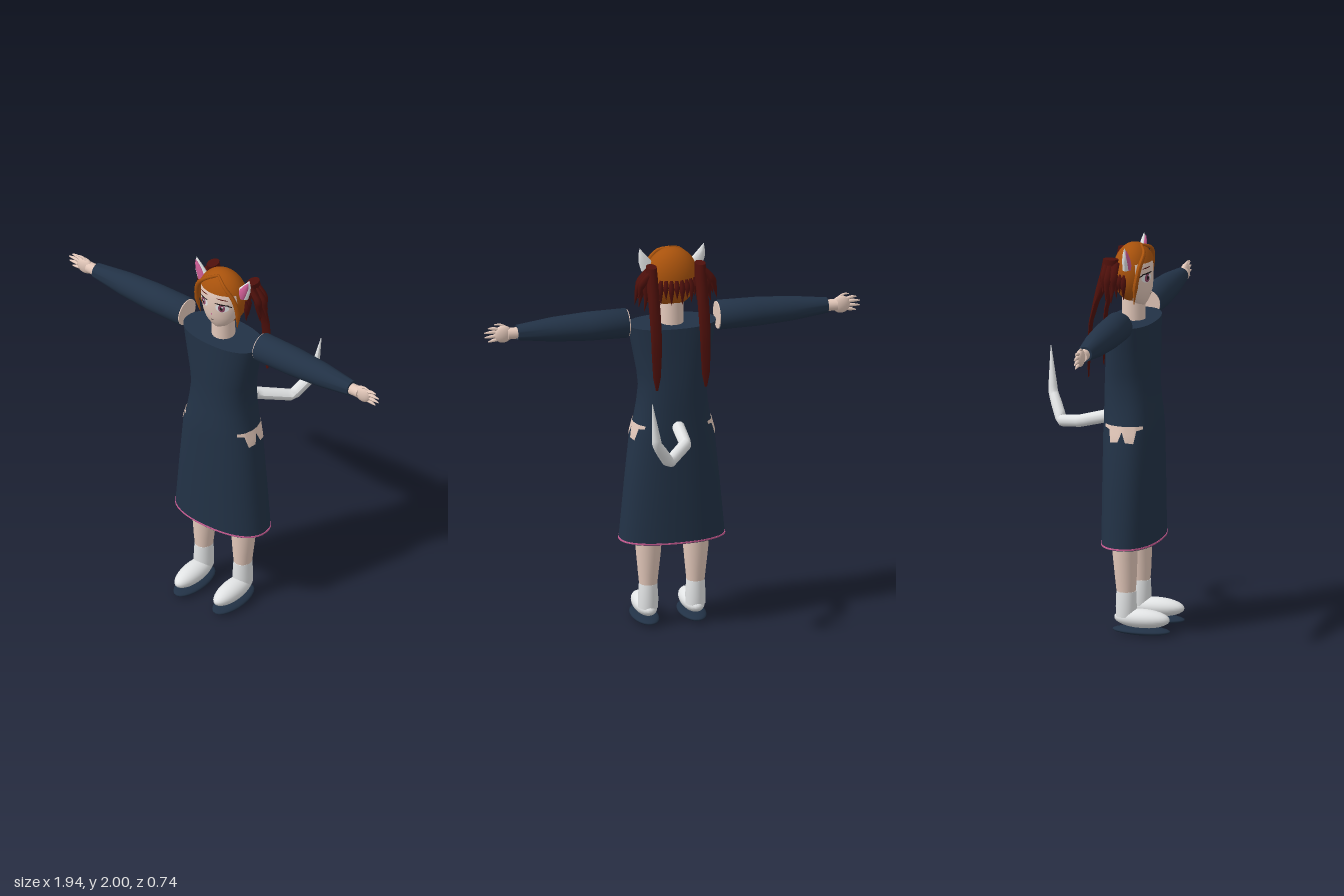
import * as THREE from 'three';
import { toCreasedNormals } from 'three/addons/utils/BufferGeometryUtils.js';

const mat = (name, color, side = THREE.FrontSide) => {
  const m = new THREE.MeshStandardMaterial({ color, side });
  m.name = name;
  return m;
};
const { lerp } = THREE.MathUtils;

// Interpolates a row of numbers in a table sorted by its first column.
function at(rows, t) {
  let i = 0;
  while (i < rows.length - 2 && t > rows[i + 1][0]) i++;
  const a = rows[i], b = rows[i + 1];
  const f = THREE.MathUtils.clamp((t - a[0]) / (b[0] - a[0]), 0, 1);
  return a.map((v, k) => lerp(v, b[k], f));
}

// Point on a rounded cross-section; a higher power gives a boxier outline.
function sectionPoint(cx, y, cz, rx, rz, angle, power = 2) {
  const bend = v => Math.sign(v) * Math.pow(Math.abs(v), 2 / power);
  return [cx + rx * bend(Math.cos(angle)), y, cz + rz * bend(Math.sin(angle))];
}

// Closed skin over horizontal rings [x, y, z, rx, rz], listed bottom to top.
function loft(rings, sides = 24, power = 2) {
  const pos = [], idx = [], n = rings.length;
  for (const r of rings)
    for (let i = 0; i < sides; i++) pos.push(...sectionPoint(...r, i / sides * Math.PI * 2, power));
  pos.push(...rings[0].slice(0, 3), ...rings[n - 1].slice(0, 3));
  const low = n * sides, top = low + 1;
  for (let i = 0; i < sides; i++) {
    const j = (i + 1) % sides;
    for (let k = 0; k < n - 1; k++) {
      const a = k * sides, b = a + sides;
      idx.push(a + i, b + i, a + j, a + j, b + i, b + j);
    }
    const t = (n - 1) * sides;
    idx.push(low, i, j, top, t + j, t + i);
  }
  const g = new THREE.BufferGeometry();
  g.setAttribute('position', new THREE.Float32BufferAttribute(pos, 3));
  g.setIndex(idx);
  return toCreasedNormals(g, 0.8);
}

// Tube along points whose radius follows [t, radius] rows.
function taperTube(points, radii, tension = 0.5, steps = 16, sides = 8) {
  const curve = new THREE.CatmullRomCurve3(points.map(p => new THREE.Vector3(...p)), false, 'catmullrom', tension);
  const g = new THREE.TubeGeometry(curve, steps, 1, sides), p = g.attributes.position, v = new THREE.Vector3();
  for (let i = 0; i < p.count; i++) {
    const t = Math.floor(i / (sides + 1)) / steps, c = curve.getPointAt(t);
    v.fromBufferAttribute(p, i).sub(c).multiplyScalar(at(radii, t)[1]).add(c);
    p.setXYZ(i, v.x, v.y, v.z);
  }
  g.computeVertexNormals();
  return g;
}

// Rows of [y, centre z, half width, half depth]
const DRESS = [[0.46, 0.143, 0.27, 0.143], [0.75, 0.143, 0.243, 0.143], [1.02, 0.143, 0.215, 0.142],
  [1.1, 0.142, 0.193, 0.14], [1.18, 0.138, 0.18, 0.136], [1.27, 0.135, 0.171, 0.132],
  [1.35, 0.137, 0.179, 0.13], [1.48, 0.14, 0.204, 0.126], [1.6, 0.142, 0.225, 0.122]];
const HEAD = [[1.675, 0.18, 0.02, 0.02], [1.69, 0.174, 0.05, 0.036], [1.72, 0.165, 0.08, 0.06],
  [1.76, 0.15, 0.102, 0.085], [1.81, 0.145, 0.115, 0.093], [1.87, 0.143, 0.12, 0.095],
  [1.92, 0.143, 0.108, 0.082], [1.96, 0.143, 0.08, 0.055]];
const toRings = rows => rows.map(([y, z, rx, rz]) => [0, y, z, rx, rz]);

// Thin disc laid onto the face.
function faceDisc(cx, cy, w, h, lift, tilt = 0) {
  const g = new THREE.RingGeometry(0, 1, 20, 3).scale(w, h, 1).rotateZ(tilt).translate(cx, cy, 0);
  const p = g.attributes.position;
  for (let i = 0; i < p.count; i++) {
    const [, z, rx, rz] = at(HEAD, p.getY(i));
    p.setZ(i, z + rz * Math.sqrt(Math.max(0, 1 - (p.getX(i) / rx) ** 2)) + lift);
  }
  g.computeVertexNormals();
  return g;
}

// Jagged opening at the hip, following the dress surface.
function hipPatch(s) {
  const half = [[0, 1.06], [0.1, 1.008], [0.36, 1.003], [0.44, 1.066], [0.64, 1.072]];
  const columns = [...half.slice(1).reverse().map(([q, y]) => [-q, y]), ...half];
  const pos = [], idx = [], rows = 4;
  columns.forEach(([q, bottom], c) => {
    for (let r = 0; r <= rows; r++) {
      const y = lerp(bottom, 1.087, r / rows), [, z, rx, rz] = at(DRESS, y);
      const p = sectionPoint(0, y, z, rx + 0.004, rz + 0.004, Math.asin(q), 2.3);
      pos.push(s * p[0], p[1], p[2]);
      if (c && r) {
        const b = c * (rows + 1) + r, a = b - rows - 1;
        idx.push(...(s > 0 ? [a - 1, a, b - 1, b - 1, a, b] : [a - 1, b - 1, a, b - 1, b, a]));
      }
    }
  });
  const g = new THREE.BufferGeometry();
  g.setAttribute('position', new THREE.Float32BufferAttribute(pos, 3));
  g.setIndex(idx);
  g.computeVertexNormals();
  return g;
}

export function createModel() {
  const model = new THREE.Group();
  const skin = mat('skin', 0xe3c8ba, THREE.DoubleSide), navy = mat('navy cloth', 0x223246);
  const orange = mat('orange hair', 0xa8520c, THREE.DoubleSide), red = mat('dark red hair', 0x4e100b);
  const white = mat('white', 0xe2e4e5), pink = mat('pink', 0xcc5c94);
  const iris = mat('iris', 0x8c4664), black = mat('black', 0x1c1618);
  const add = (name, geometry, material, x = 0, y = 0, z = 0) => {
    const m = new THREE.Mesh(geometry, material);
    m.name = name;
    m.position.set(x, y, z);
    model.add(m);
    return m;
  };
  const ball = (rx, ry, rz) => new THREE.SphereGeometry(1, 24, 16).scale(rx, ry, rz);

  // Dress, hem and neck
  add('dress', loft(toRings(DRESS), 40, 2.3), navy);
  add('hemTrim', loft([[0, 0.463, 0.143, 0.2725, 0.1455], [0, 0.471, 0.143, 0.2718, 0.1455]], 40, 2.3), pink);
  add('neck', new THREE.CylinderGeometry(0.058, 0.06, 0.16, 20), skin, 0, 1.65, 0.14);

  // Head and hair shell
  add('head', loft(toRings(HEAD), 32), skin);
  const shell = (...arc) => new THREE.SphereGeometry(1, 32, 12, ...arc).scale(0.134, 0.152, 0.105);
  add('hairCrown', shell(0, Math.PI * 2, 0, 1.13), orange, 0, 1.84, 0.143);
  add('hairBack', shell(Math.PI - 0.41, Math.PI + 0.82, 1.1, 1.85), orange, 0, 1.84, 0.143);
  add('mouth', faceDisc(0, 1.735, 0.01, 0.002, 0.002), black);
  add('nose', faceDisc(0, 1.775, 0.004, 0.005, 0.003), pink);

  // Spiky fringe across the back of the head
  for (let i = 0; i < 15; i++) {
    const a = Math.PI * (1.04 + 0.92 * i / 14), c = Math.cos(a), d = Math.sin(a);
    add('backFringe', taperTube([[0.125 * c, 1.85, 0.143 + 0.1 * d], [0.138 * c, 1.81, 0.143 + 0.112 * d],
      [0.135 * c, 1.725 + 0.03 * (i % 2), 0.143 + 0.112 * d]], [[0, 0.01], [0.4, 0.015], [1, 0.001]], 0.5, 8, 6), red);
  }

  // Tail
  add('tail', taperTube([[0, 1.09, 0.03], [0, 1.045, -0.14], [0.12, 1.005, -0.275], [0.2, 1.13, -0.345], [0.23, 1.36, -0.366]],
    [[0, 0.033], [0.6, 0.029], [0.72, 0.024], [1, 0.002]], 0, 30, 10), white);

  for (const s of [1, -1]) {
    // Arm
    const sleeve = [[0, 0], [0.073, 0], [0.075, 0.005], [0.073, 0.2], [0.062, 0.38], [0.039, 0.565], [0, 0.565]];
    const profile = sleeve.map(p => new THREE.Vector2(...p));
    add('sleeve', toCreasedNormals(new THREE.LatheGeometry(profile, 28), 0.8), navy, s * 0.235, 1.615, 0.135).rotation.z = -s * Math.PI / 2;
    add('shoulderEnd', new THREE.CylinderGeometry(0.07, 0.07, 0.006, 24), skin, s * 0.233, 1.615, 0.135).rotation.z = Math.PI / 2;
    add('wrist', new THREE.CylinderGeometry(0.029, 0.029, 0.06, 16), skin, s * 0.82, 1.613, 0.135).rotation.z = Math.PI / 2;
    add('palm', ball(0.047, 0.045, 0.022), skin, s * 0.872, 1.613, 0.135);
    [0.032, 0.012, -0.01, -0.032].forEach((h, i) => add('finger', taperTube([[s * 0.885, 1.613 + h * 0.7, 0.135],
      [s * 0.925, 1.615 + h, 0.135], [s * [0.95, 0.97, 0.968, 0.948][i], 1.612 + h * 1.1, 0.135]],
    [[0, 0.01], [0.6, 0.009], [1, 0.003]], 0.5, 8, 8), skin));
    add('thumb', taperTube([[s * 0.85, 1.64, 0.135], [s * 0.885, 1.662, 0.142], [s * 0.915, 1.662, 0.145]],
      [[0, 0.01], [1, 0.003]], 0.5, 8, 8), skin);

    // Leg and shoe
    const x = s * 0.122;
    add('hipPatch', hipPatch(s), skin);
    add('leg', loft([[x, 0.18, 0.14, 0.042, 0.045], [x, 0.28, 0.138, 0.052, 0.054], [x, 0.4, 0.134, 0.064, 0.062],
      [x, 0.56, 0.134, 0.066, 0.064]], 24), skin);
    add('sock', loft([[x, 0.09, 0.14, 0.05, 0.052], [x, 0.14, 0.14, 0.051, 0.053], [x, 0.22, 0.14, 0.046, 0.05]], 24), white);
    add('shoe', ball(0.058, 0.048, 0.145), white, x, 0.082, 0.222);
    add('sole', ball(0.068, 0.02, 0.15), navy, x, 0.021, 0.219);

    // Ear with coloured inside
    const ear = (k, dz) => loft([[s * 0.115, 1.88, 0.143 + dz, 0.042 * k, 0.02 * k], [s * 0.137, 1.93, 0.143 + dz, 0.034 * k, 0.018 * k],
      [s * 0.153, 1.965, 0.143 + dz, 0.019 * k, 0.012 * k], [s * 0.165, 1.965 + 0.035 * k, 0.143 + dz, 0.001, 0.001]], 14);
    add('ear', ear(1, 0), white);
    add('earInside', ear(0.72, 0.009), pink);

    // Eye and brow
    const e = s * 0.056;
    add('eyeWhite', faceDisc(e, 1.828, 0.032, 0.024, 0.002), white);
    add('iris', faceDisc(e, 1.828, 0.017, 0.022, 0.004), iris);
    add('pupil', faceDisc(e, 1.828, 0.007, 0.011, 0.006), black);
    add('eyeShine', faceDisc(e + 0.006, 1.838, 0.005, 0.005, 0.008), white);
    add('upperLash', faceDisc(e, 1.852, 0.034, 0.004, 0.005, -s * 0.08), black);
    add('outerLash', faceDisc(s * 0.09, 1.843, 0.012, 0.003, 0.005, -s * 0.6), black);
    add('brow', faceDisc(e, 1.88, 0.028, 0.0025, 0.003, -s * 0.1), red);

    // Front lock framing the face
    add('frontLock', taperTube([[0, 1.982, 0.18], [s * 0.06, 1.955, 0.213], [s * 0.112, 1.89, 0.205], [s * 0.128, 1.8, 0.19],
      [s * 0.115, 1.7, 0.178]], [[0, 0.007], [0.4, 0.012], [0.75, 0.013], [1, 0.001]]), orange);

    // Pigtail, thinning to a flat strand
    const px = s * 0.126;
    add('pigtail', loft([[px, 1.31, -0.056, 0.006, 0.002], [px, 1.38, -0.055, 0.02, 0.004], [px, 1.5, -0.052, 0.026, 0.006],
      [px, 1.6, -0.043, 0.028, 0.009], [px, 1.7, -0.017, 0.029, 0.015], [px, 1.78, 0.012, 0.03, 0.028],
      [px, 1.86, 0.048, 0.031, 0.042], [px, 1.93, 0.06, 0.027, 0.04]], 12), red);

    // Loose tufts beside the head
    for (const [tx, ty, tz] of [[0.213, 1.735, 0.06], [0.205, 1.775, 0.04], [0.185, 1.715, 0.08], [0.165, 1.7, 0.05], [0.2, 1.75, 0.09]])
      add('sideTuft', taperTube([[s * 0.125, 1.91, tz], [s * (tx * 0.5 + 0.075), 1.85, tz], [s * (tx - 0.012), 1.79, tz], [s * tx, ty, tz]],
        [[0, 0.016], [0.5, 0.02], [1, 0.001]], 0.5, 12, 6), red);
  }
  return model;
}
